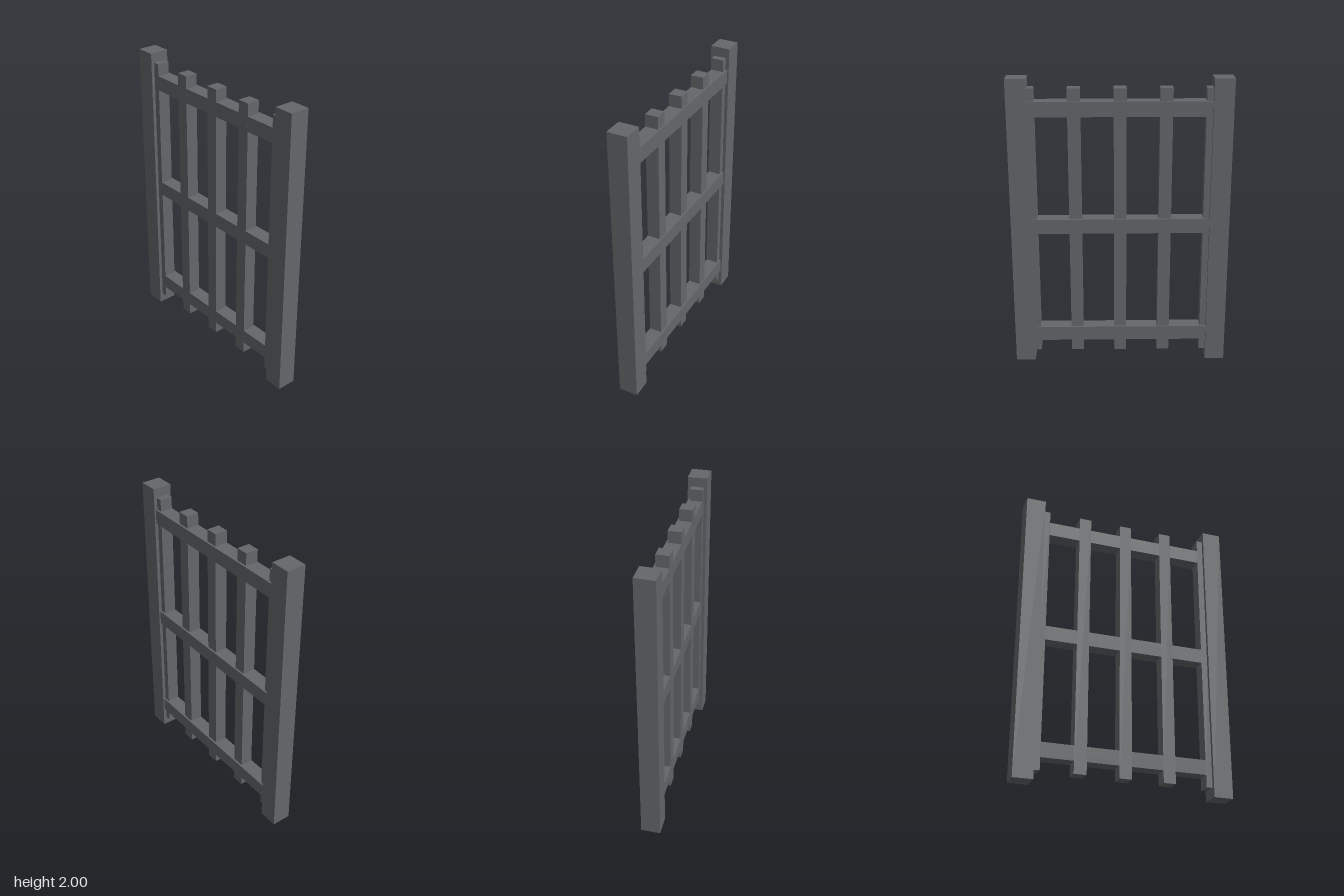
import * as THREE from 'three';

export function createModel() {
  const group = new THREE.Group();
  const iron = new THREE.MeshStandardMaterial({ color: 0x64676a });
  iron.name = 'dark grey iron';

  // Box given by its size and centre
  function addBox(name, size, centre) {
    const mesh = new THREE.Mesh(new THREE.BoxGeometry(...size), iron);
    mesh.name = name;
    mesh.position.set(...centre);
    group.add(mesh);
  }

  // Two square end posts
  for (const side of [1, -1]) {
    addBox(side > 0 ? 'frontPost' : 'backPost', [0.133, 2, 0.133], [0, 1, side * 0.667]);
  }

  // Upright bars; the outer two are half sunk into the posts
  for (let i = -2; i <= 2; i++) {
    addBox('bar' + (i + 3), [0.087, 1.867, 0.084], [0, 1, i * 0.3]);
  }

  // Cross rails, flush with the bars on one side and proud on the other
  const rails = { bottomRail: 0.2, middleRail: 1, topRail: 1.8 };
  for (const [name, y] of Object.entries(rails)) {
    addBox(name, [0.1, 0.1, 1.2], [0.0067, y, 0]);
  }

  return group;
}
